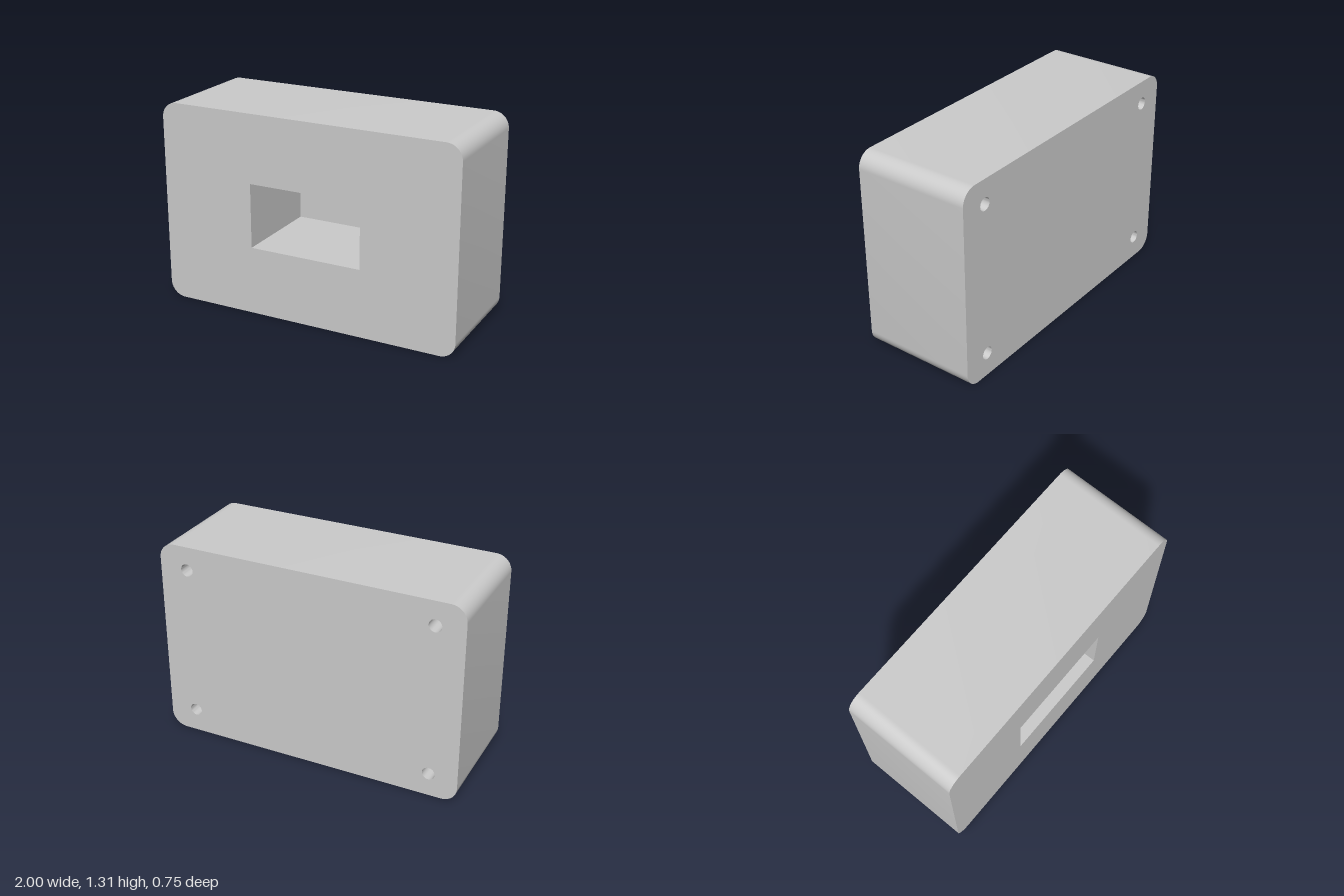
import * as THREE from 'three';
import { toCreasedNormals } from 'three/addons/utils/BufferGeometryUtils.js';

const WIDTH = 2, HEIGHT = 1.31, FRONT = 0.375, BACK = -0.375;
const POCKET_FLOOR = -0.25, HOLE_FLOOR = 0.0;

// Counter-clockwise outlines, centred on the origin unless moved
function rectangle(w, h) {
  return [[-1, -1], [1, -1], [1, 1], [-1, 1]].map(([x, y]) => new THREE.Vector2(x * w / 2, y * h / 2));
}

function arc(cx, cy, r, start, sweep, steps) {
  const points = [];
  for (let i = 0; i <= steps; i++) {
    const a = start + sweep * i / steps;
    points.push(new THREE.Vector2(cx + r * Math.cos(a), cy + r * Math.sin(a)));
  }
  return points;
}

function roundedRectangle(w, h, r) {
  const x = w / 2 - r, y = h / 2 - r, q = Math.PI / 2;
  return [[x, y], [-x, y], [-x, -y], [x, -y]].flatMap(([cx, cy], i) => arc(cx, cy, r, i * q, q, 16));
}

function circle(cx, cy, r) {
  return arc(cx, cy, r, 0, Math.PI * 2, 32).slice(0, -1);
}

// Side wall swept along z; it faces outward for a counter-clockwise outline
function wall(outline, z0, z1) {
  const p = [];
  outline.forEach((a, i) => {
    const b = outline[(i + 1) % outline.length];
    p.push(a.x, a.y, z0, b.x, b.y, z0, b.x, b.y, z1);
    p.push(a.x, a.y, z0, b.x, b.y, z1, a.x, a.y, z1);
  });
  const geometry = new THREE.BufferGeometry();
  geometry.setAttribute('position', new THREE.Float32BufferAttribute(p, 3));
  geometry.computeVertexNormals();
  return toCreasedNormals(geometry, 0.6);
}

// Flat face with optional openings, facing +z (or -z when toBack is set)
function face(outline, z, openings = [], toBack = false) {
  const shape = new THREE.Shape(outline);
  openings.forEach((o) => shape.holes.push(new THREE.Path(o)));
  const geometry = new THREE.ShapeGeometry(shape);
  if (toBack) geometry.rotateY(Math.PI);
  return geometry.translate(0, 0, z);
}

export function createModel() {
  const model = new THREE.Group();
  model.name = 'block';
  const material = new THREE.MeshStandardMaterial({ color: 0xcccccc });
  const add = (name, geometry) => {
    const mesh = new THREE.Mesh(geometry, material);
    mesh.name = name;
    mesh.position.y = HEIGHT / 2;
    model.add(mesh);
  };

  const body = roundedRectangle(WIDTH, HEIGHT, 0.1);
  const pocket = rectangle(0.75, 0.42);
  const holes = [[-1, -1], [1, -1], [1, 1], [-1, 1]].map(([x, y]) => circle(x * 0.814, y * 0.5, 0.041));

  // Outer shell
  add('bodySides', wall(body, BACK, FRONT));
  add('frontFace', face(body, FRONT, [pocket]));
  add('backFace', face(body, BACK, holes, true));

  // Rectangular pocket sunk into the front
  add('pocketWalls', wall([...pocket].reverse(), POCKET_FLOOR, FRONT));
  add('pocketFloor', face(pocket, POCKET_FLOOR));

  // Blind screw holes in the back corners
  for (const hole of holes) {
    add('screwHoleWall', wall([...hole].reverse(), BACK, HOLE_FLOOR));
    add('screwHoleFloor', face(hole, HOLE_FLOOR, [], true));
  }
  return model;
}
